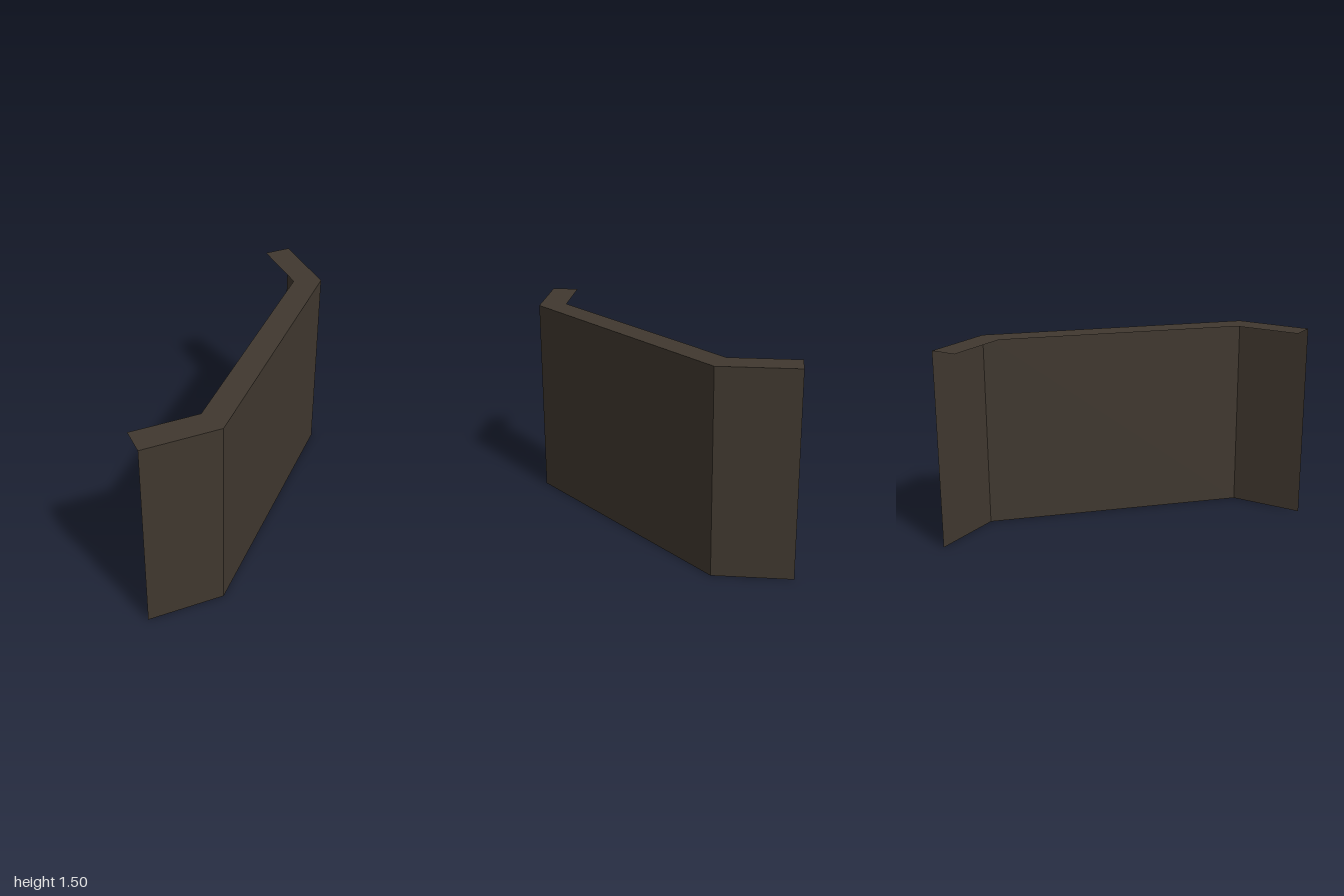
import * as THREE from 'three';

const HEIGHT = 1.5;
// Plan corners as [x, z]: the outer wall line, then the inner edge of the cap
const OUTER = [[-1, 1], [-0.43, 1], [1, -0.43], [1, -1]];
const INNER = [[0.8, -1], [0.8, -0.5], [-0.5, 0.8], [-1, 0.8]];

export function createModel() {
  const model = new THREE.Group();
  model.name = 'angledWall';

  // Open sheets, seen from both sides
  const darkBrown = new THREE.MeshStandardMaterial({ color: 0x40382f, side: THREE.DoubleSide });
  darkBrown.name = 'dark brown';

  // Three upright panels along the outer line, facing outwards
  const names = ['rightPanel', 'diagonalPanel', 'leftPanel'];
  names.forEach((name, i) => {
    const [x0, z0] = OUTER[i];
    const [x1, z1] = OUTER[i + 1];
    const panel = new THREE.Mesh(
      new THREE.PlaneGeometry(Math.hypot(x1 - x0, z1 - z0), HEIGHT),
      darkBrown
    );
    panel.name = name;
    panel.position.set((x0 + x1) / 2, HEIGHT / 2, (z0 + z1) / 2);
    panel.rotation.y = Math.atan2(z0 - z1, x1 - x0);
    model.add(panel);
  });

  // Flat cap reaching inwards from the top edge; the underside is open
  const outline = [...OUTER, ...INNER].map(([x, z]) => new THREE.Vector2(x, -z));
  const capGeometry = new THREE.ShapeGeometry(new THREE.Shape(outline));
  capGeometry.rotateX(-Math.PI / 2);
  const cap = new THREE.Mesh(capGeometry, darkBrown);
  cap.name = 'topCap';
  cap.position.y = HEIGHT;
  model.add(cap);

  return model;
}
